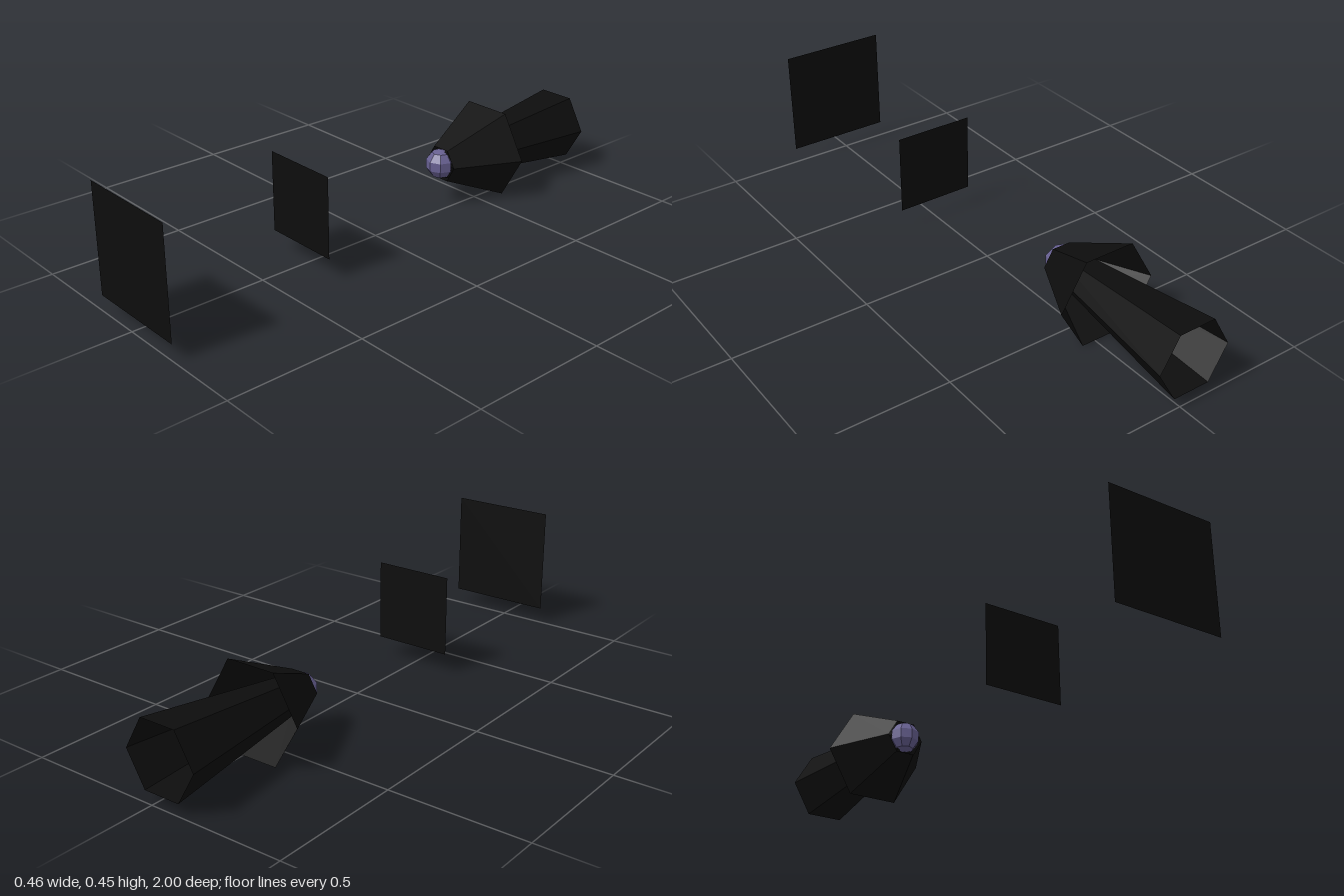
import * as THREE from 'three';

export function createModel() {
  const model = new THREE.Group();
  const black = new THREE.MeshStandardMaterial({ color: 0x0d0d0d, side: THREE.DoubleSide, flatShading: true });
  black.name = 'black';
  const violet = new THREE.MeshStandardMaterial({ color: 0x665f90, flatShading: true });
  violet.name = 'violet';

  const add = (name, geometry, material, x, y, z) => {
    const mesh = new THREE.Mesh(geometry, material);
    mesh.name = name;
    mesh.position.set(x, y, z);
    model.add(mesh);
  };

  // open six-sided tapered tube along z, with corners pointing sideways
  const hexTube = (name, frontRadius, backRadius, frontZ, backZ) => {
    const geometry = new THREE.CylinderGeometry(
      frontRadius, backRadius, frontZ - backZ, 6, 1, true, Math.PI / 2);
    geometry.rotateX(Math.PI / 2);
    add(name, geometry, black, -0.043, 0.165, (frontZ + backZ) / 2);
  };
  hexTube('head', 0.069, 0.187, -0.36, -0.6);
  hexTube('shaft', 0.057, 0.138, -0.36, -1);

  // faceted ball at the tip
  add('tipBall', new THREE.SphereGeometry(0.056, 8, 5), violet, -0.045, 0.165, -0.362);

  // free-standing square panels ahead of the tip
  add('smallPanel', new THREE.PlaneGeometry(0.295, 0.295), black, -0.002, 0.226, 0.333);
  add('largePanel', new THREE.PlaneGeometry(0.395, 0.395), black, 0.03, 0.259, 1);

  return model;
}
